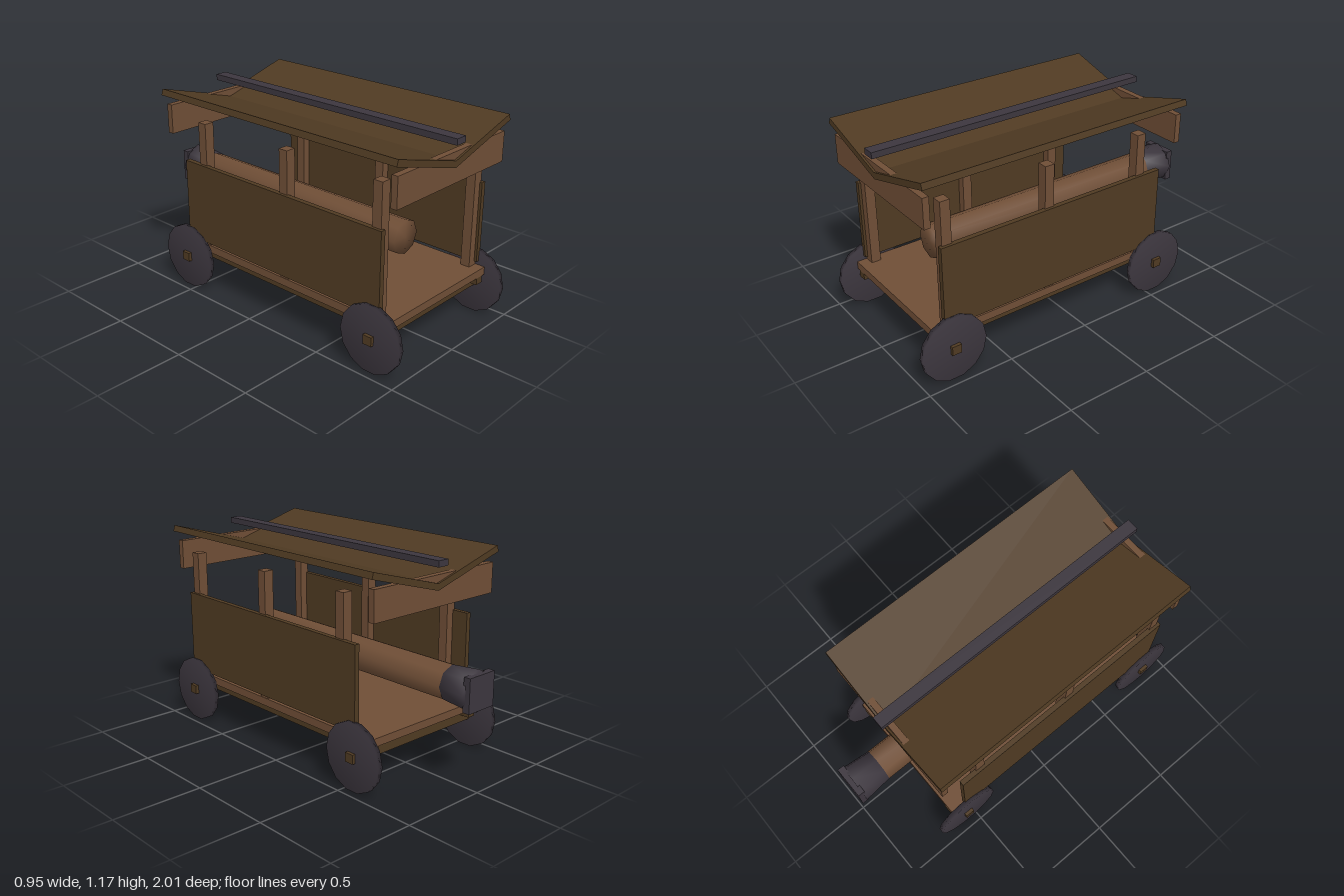
import * as THREE from 'three';
import { mergeVertices } from 'three/addons/utils/BufferGeometryUtils.js';

export function createModel() {
  const model = new THREE.Group();
  const paint = (name, color) => {
    const m = new THREE.MeshStandardMaterial({ color });
    m.name = name;
    return m;
  };
  const wood = paint('wood', 0x6f4e36);
  const darkWood = paint('dark wood', 0x4f3a22);
  const iron = paint('iron', 0x3c363e);

  const add = (name, geometry, material) => {
    const mesh = new THREE.Mesh(geometry, material);
    mesh.name = name;
    model.add(mesh);
  };
  // box given by its lower and upper bounds
  const box = (name, material, [x0, x1], [y0, y1], [z0, z1]) => {
    const g = new THREE.BoxGeometry(x1 - x0, y1 - y0, z1 - z0);
    g.translate((x0 + x1) / 2, (y0 + y1) / 2, (z0 + z1) / 2);
    add(name, g, material);
  };
  // cylinder whose normals are smoothed over the rim
  const softCylinder = (r0, r1, length, sides) => {
    const g = new THREE.CylinderGeometry(r0, r1, length, sides);
    g.deleteAttribute('uv');
    g.deleteAttribute('normal');
    const merged = mergeVertices(g);
    merged.computeVertexNormals();
    return merged;
  };

  // deck
  box('deck', wood, [-0.42, 0.42], [0.25, 0.295], [-0.64, 0.9]);

  // axles and wheels
  for (const z of [0.815, -0.555]) {
    box('axle', darkWood, [-0.475, 0.475], [0.167, 0.218], [z - 0.027, z + 0.027]);
    for (const s of [-1, 1]) {
      const wheel = softCylinder(0.19, 0.19, 0.03, 14);
      wheel.rotateZ(Math.PI / 2).translate(s * 0.441, 0.19, z);
      add('wheel', wheel, iron);
    }
  }

  // chassis beams, side walls and posts on both sides
  for (const s of [-1, 1]) {
    const span = (a, b) => (s > 0 ? [a, b] : [-b, -a]);
    box('chassisBeam', darkWood, span(0.35, 0.4), [0.21, 0.25], [-0.64, 0.9]);
    box('sideWall', darkWood, span(0.406, 0.435), [0.315, 0.78], [-0.555, 0.855]);
    for (const z of [0.812, 0.194, -0.426])
      box('post', wood, span(0.36, 0.418), [0.295, 1.02], [z - 0.028, z + 0.028]);
  }

  // cross boards under the roof ends
  for (const z of [0.925, -0.67])
    box('crossBoard', wood, [-0.44, 0.44], [0.915, 1.082], [z - 0.018, z + 0.018]);

  // valley roof
  const roof = new THREE.Shape([
    [0, 1.003], [0.467, 1.136], [0.457, 1.17], [0, 1.04], [-0.457, 1.17], [-0.467, 1.136],
  ].map(([x, y]) => new THREE.Vector2(x, y)));
  const roofGeometry = new THREE.ExtrudeGeometry(roof, { depth: 1.655, bevelEnabled: false });
  roofGeometry.translate(0, 0, -0.7);
  add('roof', roofGeometry, darkWood);
  box('ridgeBar', iron, [-0.035, 0.035], [1.131, 1.165], [-0.727, 0.977]);

  // ram log with an iron head
  const log = softCylinder(0.098, 0.098, 1.5, 8);
  log.rotateX(Math.PI / 2).translate(0, 0.546, -0.08);
  add('ramLog', log, wood);
  const head = softCylinder(0.098, 0.114, 0.165, 8);
  head.rotateX(Math.PI / 2).translate(0, 0.546, -0.89);
  add('ramHead', head, iron);
  box('ramFace', iron, [-0.093, 0.093], [0.453, 0.639], [-1, -0.96]);

  return model;
}
